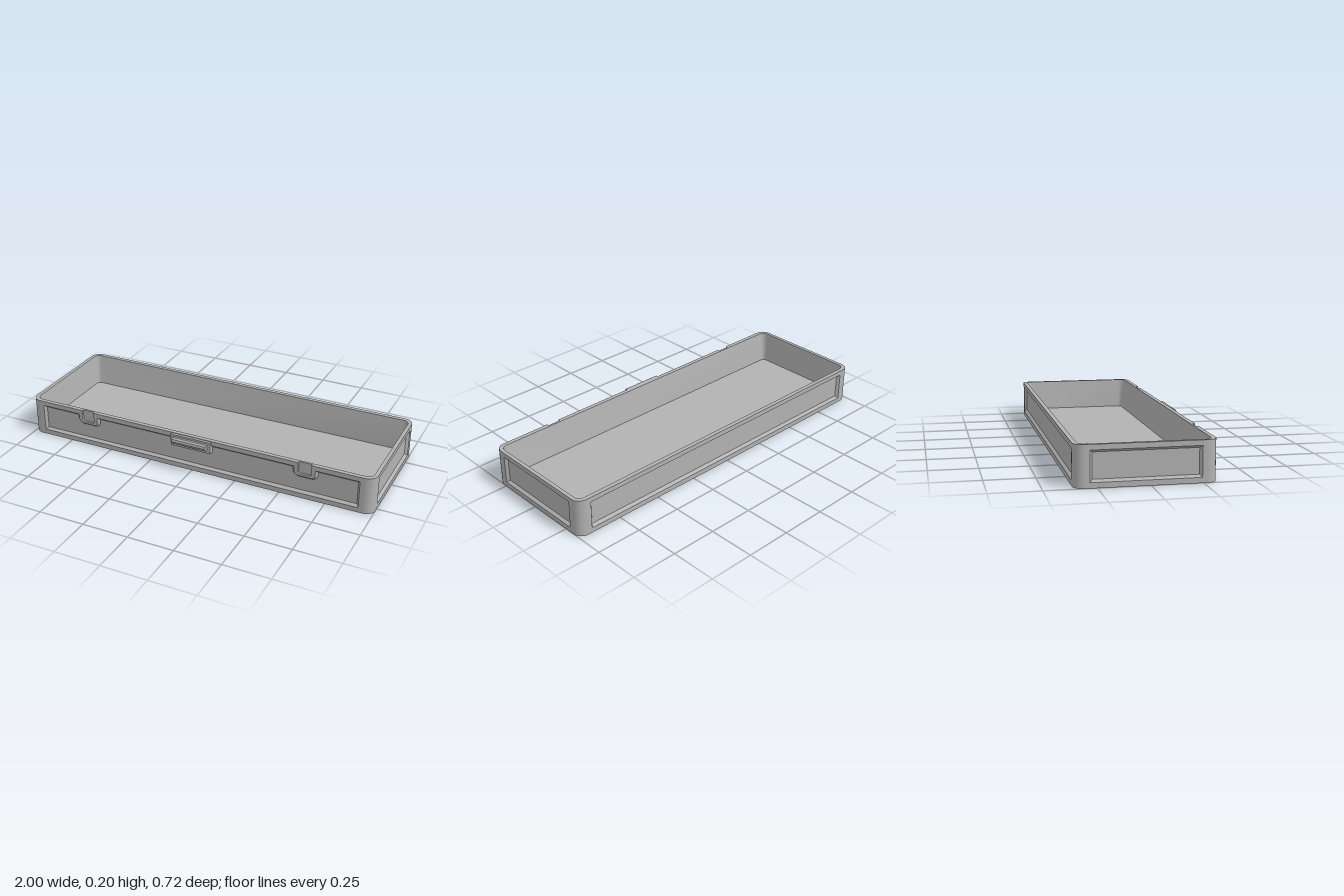
import * as THREE from 'three';
import { toCreasedNormals } from 'three/addons/utils/BufferGeometryUtils.js';

const H = 0.204;                       // tray height
const HX = 1, HZ = 0.3395, R = 0.05;   // outer half sizes and corner radius
const DEPTH = 0.015, BEVEL = 0.012;    // side panel recess
const SLOT_DEPTH = 0.012;
const CLIPS = [0.635, -0.635];         // clip centres on the front

const grey = new THREE.MeshStandardMaterial({ color: 0xb2b2b2, side: THREE.DoubleSide });
grey.name = 'grey';

const V2 = (x, y) => new THREE.Vector2(x, y);

function add(parent, name, geometry) {
  const mesh = new THREE.Mesh(geometry, grey);
  mesh.name = name;
  parent.add(mesh);
  return mesh;
}

// Quad strip between two matching rows of 3D points
function strip(a, b, closed = true) {
  const pos = [];
  const n = closed ? a.length : a.length - 1;
  for (let i = 0; i < n; i++) {
    const j = (i + 1) % a.length;
    for (const p of [a[i], b[i], b[j], a[i], b[j], a[j]]) pos.push(p.x, p.y, p.z);
  }
  const g = new THREE.BufferGeometry();
  g.setAttribute('position', new THREE.Float32BufferAttribute(pos, 3));
  return toCreasedNormals(g, 0.6);
}

// Arc points in 2D
function arc(cx, cy, r, a0, a1, n = 6) {
  return Array.from({ length: n + 1 }, (_, i) => {
    const a = a0 + (a1 - a0) * i / n;
    return V2(cx + r * Math.cos(a), cy + r * Math.sin(a));
  });
}

// Rounded rectangle in plan (x, z)
function plan(hx, hz, r) {
  return [[1, 1], [-1, 1], [-1, -1], [1, -1]].flatMap(([sx, sz], i) =>
    arc(sx * (hx - r), sz * (hz - r), r, i * Math.PI / 2, (i + 1) * Math.PI / 2));
}

const atY = (pts, y) => pts.map(p => new THREE.Vector3(p.x, y, p.y));
const atZ = (pts, z) => pts.map(p => new THREE.Vector3(p.x, p.y, z));

// Horizontal face, optionally with a hole
function flat(outline, y, up, hole) {
  const mirrored = pts => pts.map(p => V2(p.x, up ? -p.y : p.y));
  const s = new THREE.Shape(mirrored(outline));
  if (hole) s.holes.push(new THREE.Path(mirrored(hole)));
  return new THREE.ShapeGeometry(s).rotateX(up ? -Math.PI / 2 : Math.PI / 2).translate(0, y, 0);
}

// U-shaped outline hanging from height top, listed right to left
function uShape(cx, half, bottom, k, e, top) {
  return [
    V2(cx + half + e, top),
    ...arc(cx + half - k, bottom + k, k + e, 0, -Math.PI / 2, 4),
    ...arc(cx - half + k, bottom + k, k + e, -Math.PI / 2, -Math.PI, 4),
    V2(cx - half - e, top),
  ];
}

const slot = cx => uShape(cx, 0.036, 0.14, 0.01, 0, H);

// One framed wall facing +z, with a bevelled recessed panel
function wall(name, halfWidth, distance, clips) {
  const g = new THREE.Group();
  g.name = name;
  const opening = e => {
    const w = halfWidth - 0.025 - e, b = 0.027 + e, t = 0.178 - e;
    return [V2(-w, b), V2(w, b), V2(w, t),
      ...clips.flatMap(cx => uShape(cx, 0.057, 0.128, 0.022, e, t)), V2(-w, t)];
  };
  const front = opening(0), back = opening(BEVEL);
  const frame = new THREE.Shape([V2(-halfWidth, 0), V2(halfWidth, 0), V2(halfWidth, H),
    ...clips.flatMap(slot), V2(-halfWidth, H)]);
  frame.holes.push(new THREE.Path(front));
  add(g, 'wallFrame', new THREE.ShapeGeometry(frame).translate(0, 0, distance));
  add(g, 'panelBevel', strip(atZ(front, distance), atZ(back, distance - DEPTH)));
  add(g, 'recessedPanel', new THREE.ShapeGeometry(new THREE.Shape(back)).translate(0, 0, distance - DEPTH));
  // Open slots in the clip bosses
  for (const cx of clips) {
    const s = slot(cx), z = distance - SLOT_DEPTH;
    add(g, 'clipSlotSides', strip(atZ(s, distance), atZ(s, z), false));
    add(g, 'clipSlotBack', new THREE.ShapeGeometry(new THREE.Shape(s)).translate(0, 0, z));
  }
  return g;
}

export function createModel() {
  const model = new THREE.Group();
  model.name = 'tray';
  const body = new THREE.Group();
  body.name = 'trayBody';
  body.position.z = -0.0205;
  model.add(body);

  // Four framed walls
  const walls = [
    ['frontWall', HX - R, HZ, CLIPS, 0],
    ['leftWall', HZ - R, HX, [], Math.PI / 2],
    ['backWall', HX - R, HZ, [], Math.PI],
    ['rightWall', HZ - R, HX, [], -Math.PI / 2],
  ];
  for (const [name, half, dist, clips, turn] of walls) {
    const w = wall(name, half, dist, clips);
    w.rotation.y = turn;
    body.add(w);
  }

  // Rounded corners
  const outer = plan(HX, HZ, R);
  for (let i = 0; i < 4; i++) {
    const c = outer.slice(i * 7, i * 7 + 7);
    add(body, 'roundedCorner', strip(atY(c, H), atY(c, 0), false));
  }

  // Rim, notched at the clip slots
  const mouth = plan(0.98, 0.3165, 0.032);
  const notches = CLIPS.flatMap(cx => [
    V2(cx + 0.036, HZ), V2(cx + 0.036, HZ - SLOT_DEPTH),
    V2(cx - 0.036, HZ - SLOT_DEPTH), V2(cx - 0.036, HZ)]);
  const rim = [...outer.slice(0, 7), ...notches, ...outer.slice(7)];
  add(body, 'rim', flat(rim, H, true, mouth));

  // Tapered inside and floor
  const floor = plan(0.965, 0.293, 0.022);
  add(body, 'innerWalls', strip(atY(floor, 0.034), atY(mouth, H)));
  add(body, 'floor', flat(floor, 0.034, true));

  // Underside with a shallow recess
  const under = plan(HX - 0.024, HZ - 0.024, 0.03);
  add(body, 'footRing', flat(outer, 0, false, under));
  add(body, 'undersideEdge', strip(atY(under, 0), atY(under, 0.016)));
  add(body, 'underside', flat(under, 0.016, false));

  // Front latch plate and its faceted grip
  const latch = new THREE.Group();
  latch.name = 'latch';
  add(latch, 'latchPlate', new THREE.BoxGeometry(0.23, 0.065, 0.032)).position.set(0, 0.1685, 0.318);
  const grip = new THREE.CylinderGeometry(0.0195, 0.0195, 0.196, 10).toNonIndexed();
  grip.computeVertexNormals();
  grip.rotateZ(Math.PI / 2);
  add(latch, 'latchGrip', grip).position.set(0, 0.173, 0.3415);
  model.add(latch);

  return model;
}
